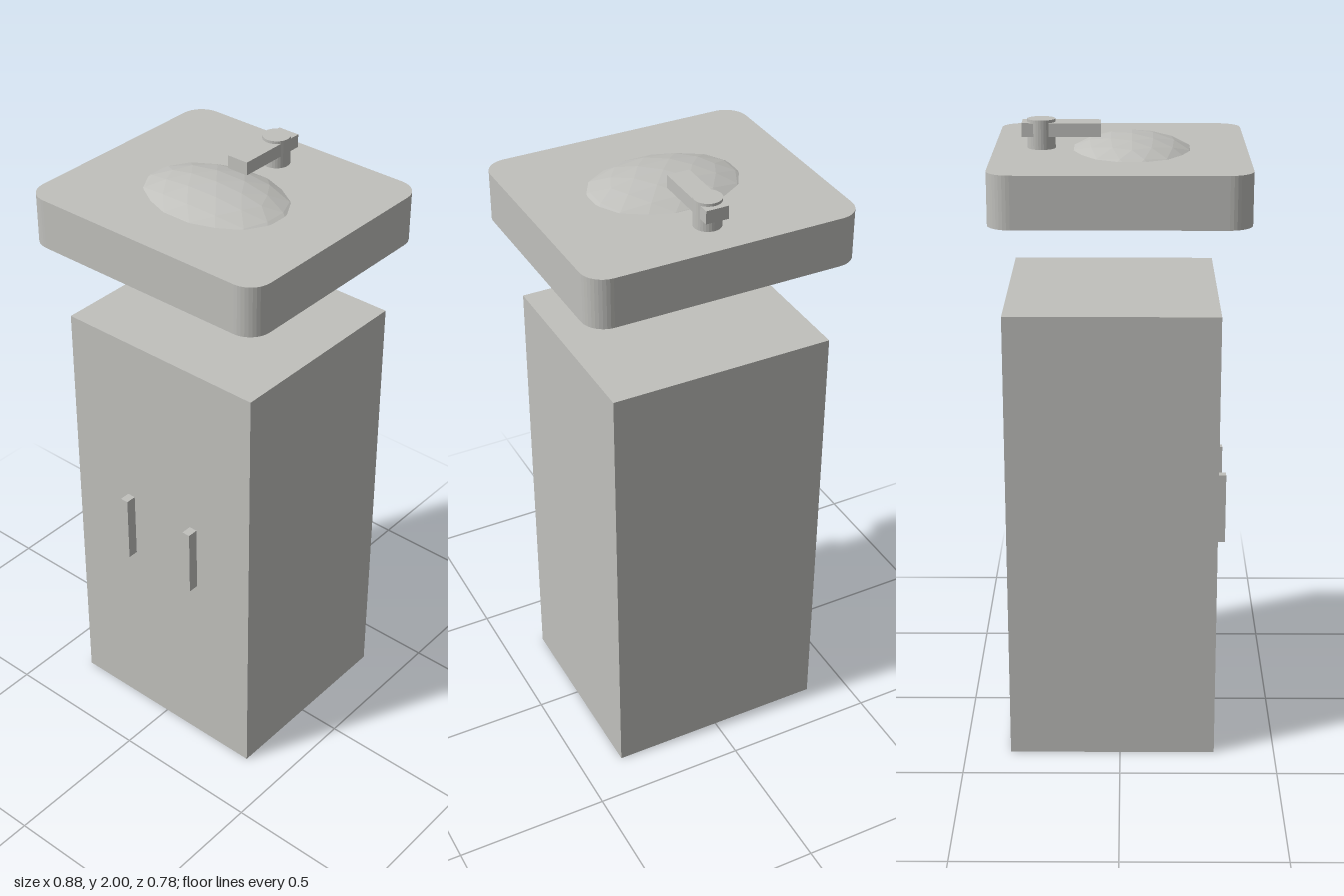
import * as THREE from 'three';

export function createModel() {
  const group = new THREE.Group();
  const ceramic = new THREE.MeshStandardMaterial({ color: 0xc0c0bc });
  ceramic.name = 'pale grey';
  ceramic.flatShading = true;

  const add = (name, geometry, x, y, z) => {
    const mesh = new THREE.Mesh(geometry, ceramic);
    mesh.name = name;
    mesh.position.set(x, y, z);
    group.add(mesh);
    return mesh;
  };

  // Cabinet and its two door handles
  add('cabinet', new THREE.BoxGeometry(0.727, 1.47, 0.66), -0.003, 0.735, -0.025);
  for (const [name, x] of [['rightHandle', -0.134], ['leftHandle', 0.131]]) {
    add(name, new THREE.BoxGeometry(0.028, 0.23, 0.04), x, 0.765, 0.32);
  }

  // Basin slab with rounded corners, extruded upwards
  const w = 0.438, d = 0.39, r = 0.072;
  const outline = new THREE.Shape();
  outline.absarc(w - r, d - r, r, 0, Math.PI / 2);
  outline.absarc(r - w, d - r, r, Math.PI / 2, Math.PI);
  outline.absarc(r - w, r - d, r, Math.PI, Math.PI * 1.5);
  outline.absarc(w - r, r - d, r, Math.PI * 1.5, Math.PI * 2);
  outline.closePath();
  const slab = new THREE.ExtrudeGeometry(outline, { depth: 0.16, bevelEnabled: false, curveSegments: 5 });
  slab.rotateX(-Math.PI / 2);
  add('basinSlab', slab, 0, 1.75, 0);

  // Faceted bowl passing through the slab
  const bowl = new THREE.IcosahedronGeometry(1, 3);
  bowl.scale(0.328, 0.138, 0.247);
  add('bowl', bowl, 0, 1.817, 0.035);

  // Tap: round post with a straight spout
  add('tapPost', new THREE.CylinderGeometry(0.0435, 0.0435, 0.1, 32), 0, 1.95, -0.244);
  add('tapSpout', new THREE.BoxGeometry(0.073, 0.042, 0.243), 0, 1.97, -0.182);

  return group;
}
